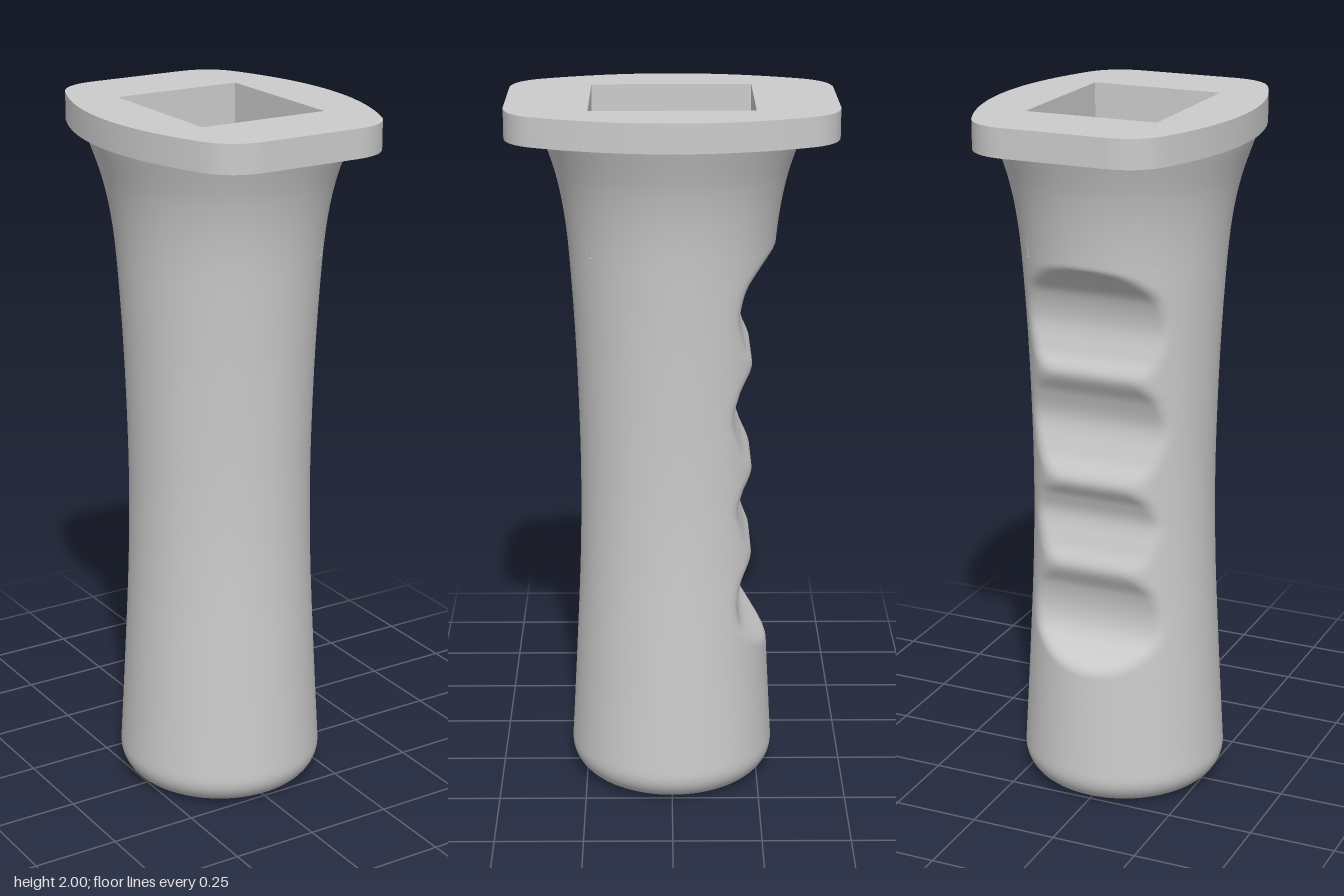
import * as THREE from 'three';
import { mergeVertices, toCreasedNormals } from 'three/addons/utils/BufferGeometryUtils.js';

const material = new THREE.MeshStandardMaterial({ color: 0xcccccc });

const v2 = (list) => list.map(([a, b]) => new THREE.Vector2(a, b));

// Finger groove floor as [distance behind the axis, height]
const grooveCurve = new THREE.SplineCurve(v2([
  [0.34, 0.36], [0.275, 0.42], [0.235, 0.46], [0.198, 0.51], [0.186, 0.57], [0.196, 0.64],
  [0.226, 0.71], [0.205, 0.77], [0.184, 0.85], [0.198, 0.91], [0.225, 0.97], [0.194, 1.04],
  [0.17, 1.13], [0.188, 1.21], [0.222, 1.28], [0.2, 1.34], [0.184, 1.42], [0.2, 1.5],
  [0.235, 1.55], [0.28, 1.59], [0.36, 1.63],
]));
const groovePoints = grooveCurve.getPoints(300);

function grooveDepth(y) {
  for (let i = 1; i < groovePoints.length; i++) {
    const a = groovePoints[i - 1], b = groovePoints[i];
    if (y >= a.y && y <= b.y) return THREE.MathUtils.mapLinear(y, a.y, b.y, a.x, b.x);
  }
  return 1;
}

// Smooth minimum softens the rim of each groove
function softMin(a, b, k) {
  const h = Math.max(k - Math.abs(a - b), 0) / k;
  return Math.min(a, b) - h * h * k / 4;
}

// Waisted round grip with four finger grooves pressed into its back
function gripGeometry() {
  const side = new THREE.SplineCurve(v2([
    [0.294, 0.09], [0.278, 0.38], [0.264, 0.68], [0.26, 0.95], [0.267, 1.25],
    [0.28, 1.5], [0.295, 1.67], [0.32, 1.8], [0.36, 1.92],
  ]));
  const profile = v2([[0, 0], [0.1, 0], [0.19, 0]]);
  for (let i = 0; i <= 10; i++) {
    const a = (i / 10) * Math.PI / 2;
    profile.push(new THREE.Vector2(0.21 + 0.084 * Math.sin(a), 0.085 * (1 - Math.cos(a))));
  }
  profile.push(...side.getSpacedPoints(220).slice(1));
  const lathe = new THREE.LatheGeometry(profile, 128);
  const pos = lathe.attributes.position;
  for (let i = 0; i < pos.count; i++) {
    const z = pos.getZ(i);
    if (z < 0) pos.setZ(i, -softMin(-z, grooveDepth(pos.getY(i)), 0.02));
  }
  lathe.deleteAttribute('uv');
  lathe.deleteAttribute('normal');
  const geometry = mergeVertices(lathe, 1e-5);
  geometry.computeVertexNormals();
  return geometry;
}

// Flat collar with bowed sides, rounded corners and a rectangular opening
function collarGeometry() {
  const s = new THREE.Shape();
  s.moveTo(0.275, -0.37);
  s.quadraticCurveTo(0.445, 0, 0.275, 0.37);
  s.quadraticCurveTo(0.235, 0.449, 0.14, 0.449);
  s.lineTo(-0.14, 0.449);
  s.quadraticCurveTo(-0.235, 0.449, -0.275, 0.37);
  s.quadraticCurveTo(-0.445, 0, -0.275, -0.37);
  s.quadraticCurveTo(-0.235, -0.449, -0.14, -0.449);
  s.lineTo(0.14, -0.449);
  s.quadraticCurveTo(0.235, -0.449, 0.275, -0.37);
  s.holes.push(new THREE.Path(v2([[-0.19, -0.223], [-0.19, 0.223], [0.19, 0.223], [0.19, -0.223]])));
  const g = new THREE.ExtrudeGeometry(s, { depth: 0.08, bevelEnabled: false, curveSegments: 24 });
  g.rotateX(Math.PI / 2).translate(0, 2, 0);
  return toCreasedNormals(g, 0.6);
}

// Socket sunk into the grip: a box seen from inside, without its top
function socketGeometry() {
  const g = new THREE.BoxGeometry(0.38, 0.32, 0.446);
  g.setIndex(Array.from(g.index.array).filter((_, i) => i < 12 || i >= 18));
  g.clearGroups();
  return g.translate(0, 1.76, 0);
}

export function createModel() {
  const model = new THREE.Group();
  model.name = 'handle';
  const add = (name, geometry, mat = material) => {
    const mesh = new THREE.Mesh(geometry, mat);
    mesh.name = name;
    model.add(mesh);
  };
  add('grip', gripGeometry());
  add('collar', collarGeometry());
  const inside = material.clone();
  inside.side = THREE.BackSide;
  add('socket', socketGeometry(), inside);
  return model;
}
